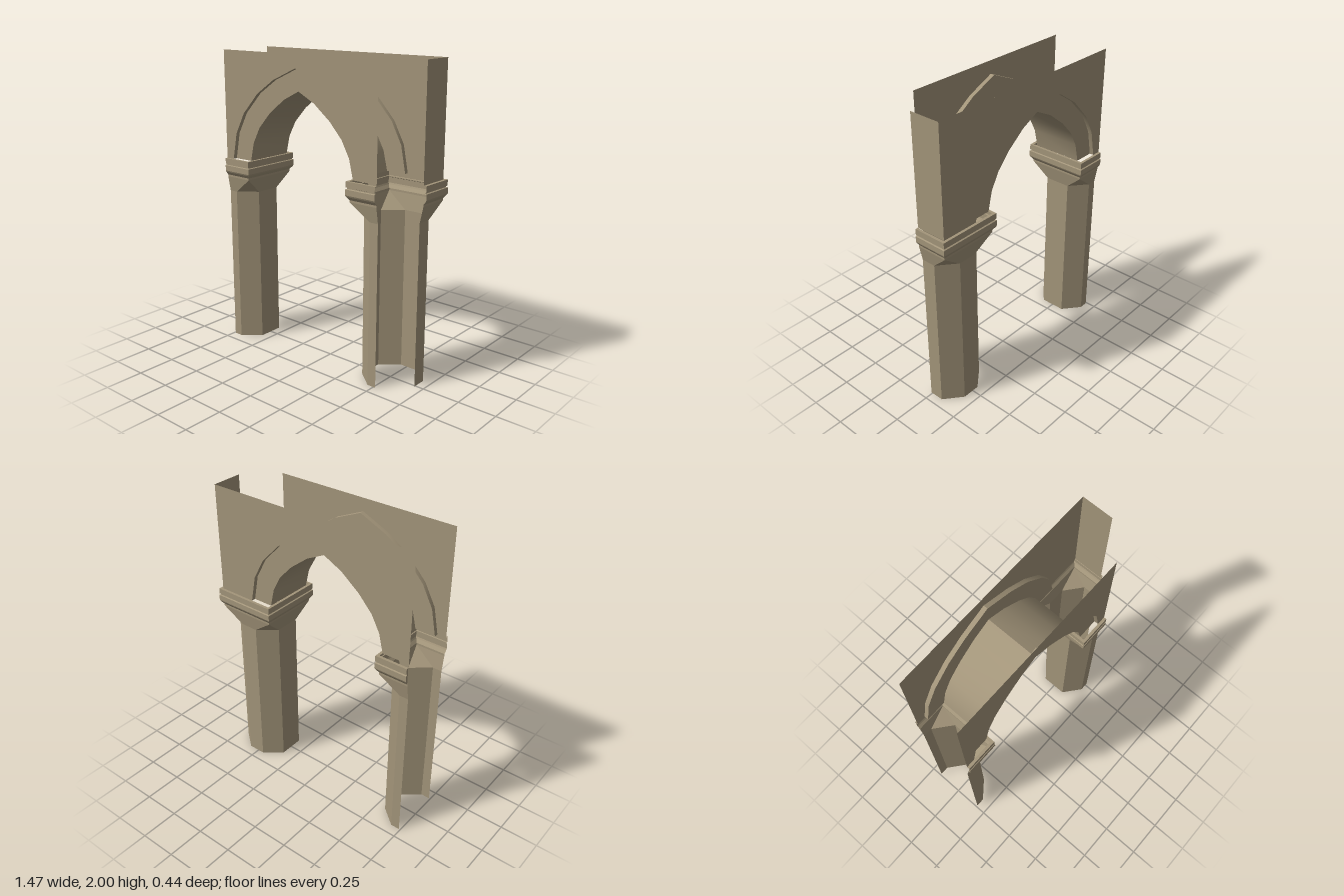
import * as THREE from 'three';

const stone = new THREE.MeshStandardMaterial({ color: 0xa3957a, side: THREE.DoubleSide });
stone.name = 'sandstone';

const CENTRE = -0.1125, SPRING = 1.285, TOP = 2, FACE = 0.198, RECESS = 0.17;

// Half arches as [distance from centre line, height], springing to apex
const INNER = [[0.43, SPRING], [0.4, 1.41], [0.343, 1.515], [0.25, 1.615], [0.125, 1.712], [0, 1.774]];
const OUTER = [[0.567, SPRING], [0.532, 1.46], [0.457, 1.6], [0.327, 1.738], [0.187, 1.832], [0, 1.915]];
const mirrored = (half) => half.map(([x, y]) => [-x, y]).reverse();
const fullArch = (half) => [...half, ...mirrored(half).slice(1)];

function mesh(name, geometry) {
  const m = new THREE.Mesh(geometry, stone);
  m.name = name;
  return m;
}

// Skin between successive rows of points
function loft(rows, smooth = false) {
  const n = rows[0].length, index = [];
  for (let i = 0; i < rows.length - 1; i++) {
    for (let j = 0; j < n - 1; j++) {
      const a = i * n + j, b = a + n;
      index.push(a, b, a + 1, b, b + 1, a + 1);
    }
  }
  let g = new THREE.BufferGeometry();
  g.setAttribute('position', new THREE.Float32BufferAttribute(rows.flat(2), 3));
  g.setIndex(index);
  if (!smooth) g = g.toNonIndexed();
  g.computeVertexNormals();
  return g;
}

function shapeOf(points) {
  return new THREE.ShapeGeometry(new THREE.Shape(points.map(([x, y]) => new THREE.Vector2(x, y))));
}

// Curved strip following the arch, one smooth piece per side of the point
function archStrip(name, half, z0, z1) {
  const group = new THREE.Group();
  group.name = name;
  for (const pts of [half, mirrored(half)]) {
    const rows = [z0, z1].map((z) => pts.map(([x, y]) => [x, y, z]));
    group.add(mesh(name + 'Half', loft(rows, true)));
  }
  return group;
}

// Wall face with a stepped pointed opening, facing +z
function wallSide(name, left, right) {
  const group = new THREE.Group();
  group.name = name;
  const panel = shapeOf([...fullArch(OUTER), [left, SPRING], [left, TOP], [right, TOP], [right, SPRING]]);
  const ring = shapeOf([...fullArch(OUTER), ...fullArch(INNER).reverse()]);
  group.add(mesh('wallPanel', panel.translate(0, 0, FACE)));
  group.add(mesh('recessedArchRing', ring.translate(0, 0, RECESS)));
  group.add(archStrip('archReveal', OUTER, RECESS, FACE));
  return group;
}

// Open octagonal pier, its flared capital and the square moulding on top.
// Each section point holds its octagon position and its square position (times h).
function pier(name, x, section) {
  const group = new THREE.Group();
  group.name = name;
  const octagon = (y) => section.map(([ox, oz]) => [x + ox, y, oz]);
  const square = (y, h) => section.map(([, , sx, sz]) => [x + sx * h, y, Math.abs(sz) < 0.5 ? sz : sz * h]);
  group.add(mesh('shaft', loft([octagon(0), octagon(1.055)])));
  group.add(mesh('flaredCapital', loft([octagon(1.055), square(1.157, FACE)])));
  const profile = [
    [1.157, 0.198], [1.17, 0.198], [1.19, 0.213], [1.2, 0.218], [1.236, 0.218], [1.24, 0.21],
    [1.246, 0.21], [1.248, 0.216], [1.285, 0.216], [1.285, 0.198],
  ];
  group.add(mesh('abacusMoulding', loft(profile.map(([y, h]) => square(y, h)))));
  return group;
}

export function createModel() {
  const model = new THREE.Group();
  model.name = 'pointedArch';

  // Arch, wall faces and underside, built about the arch centre line
  const arch = new THREE.Group();
  arch.name = 'archWall';
  arch.position.x = CENTRE;
  const half = 0.6275, corner = 0.8235;
  const back = wallSide('backWall', -corner, half);
  back.rotation.y = Math.PI;
  arch.add(wallSide('frontWall', -half, half), back);
  arch.add(archStrip('archUnderside', INNER, -RECESS, RECESS));

  // Return wall at the outer corner
  const returnWall = new THREE.PlaneGeometry(0.208, TOP - SPRING).rotateY(Math.PI / 2);
  returnWall.translate(corner, (TOP + SPRING) / 2, -0.094);
  arch.add(mesh('returnWall', returnWall));
  model.add(arch);

  // Corner pier: three quarters of an octagon
  const a = 0.06, b = 0.085, c = 0.176, d = 0.18, cut = 0.01;
  model.add(pier('cornerPier', 0.515, [
    [0, d, 0, 1], [-a, d, -1, 1], [-c, b, -1, 1], [-c, -b, -1, -1],
    [-a, -d, -1, -1], [a, -d, 1, -1], [c, -b, 1, -1], [c, cut, 1, cut],
  ]));

  // End pier: half an octagon
  model.add(pier('endPier', -0.74, [
    [0, -d, 0, -1], [a, -d, 1, -1], [c, -b, 1, -1],
    [c, b, 1, 1], [a, d, 1, 1], [0, d, 0, 1],
  ]));
  return model;
}
